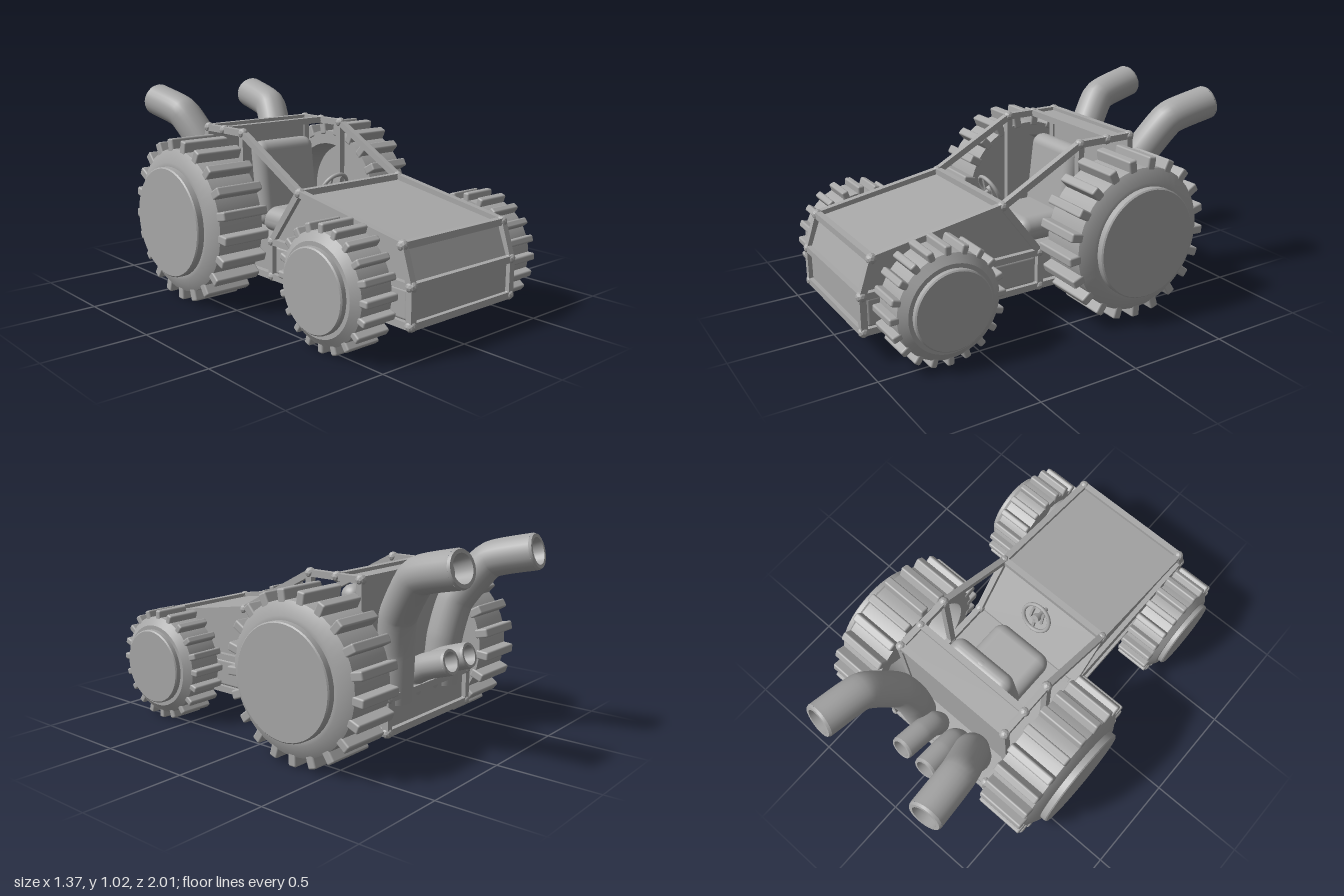
import * as THREE from 'three';
import { toCreasedNormals } from 'three/addons/utils/BufferGeometryUtils.js';
import { RoundedBoxGeometry } from 'three/addons/geometries/RoundedBoxGeometry.js';

const grey = new THREE.MeshStandardMaterial({ color: 0xa8a8a8 });
grey.name = 'plain grey';

function add(parent, name, geometry, x = 0, y = 0, z = 0) {
  const mesh = new THREE.Mesh(geometry, grey);
  mesh.name = name;
  mesh.position.set(x, y, z);
  parent.add(mesh);
  return mesh;
}

// square frame bar between two points
function bar(parent, name, a, b, w = 0.032) {
  const p = new THREE.Vector3(...a), q = new THREE.Vector3(...b);
  const mesh = add(parent, name, new THREE.BoxGeometry(w, w, p.distanceTo(q)));
  mesh.position.copy(p).add(q).multiplyScalar(0.5);
  mesh.lookAt(q);
  return mesh;
}

// solid with a side profile given as [z, y], spanning x = -half..half
function sideSolid(points, half) {
  const shape = new THREE.Shape(points.map(([z, y]) => new THREE.Vector2(-z, y)));
  const g = new THREE.ExtrudeGeometry(shape, { depth: half * 2, bevelEnabled: false });
  return g.translate(0, 0, -half).rotateY(Math.PI / 2);
}

// wheel with hollow inner side, stepped hub and tread bars; its axis is x, outside at +x
function makeWheel({ name, r, tread, hub, inner, outer, hubOuter, count, barWidth }) {
  const wheel = new THREE.Group();
  wheel.name = name;
  const w = outer - inner, h = hubOuter - inner;
  const profile = [
    [0, w * 0.55], [r * 0.74, w * 0.55], [r * 0.8, 0.005], [r, 0.005], [r, w - 0.005],
    [hub + 0.02, w + (h - w) * 0.45], [hub, w + (h - w) * 0.45],
    [hub, h - 0.006], [hub - 0.006, h], [0, h],
  ].map(([a, b]) => new THREE.Vector2(a, b));
  const body = new THREE.LatheGeometry(profile, 48).rotateZ(-Math.PI / 2);
  add(wheel, 'tyreAndHub', toCreasedNormals(body, 0.5));
  const depth = tread - r + 0.02;
  for (let i = 0; i < count; i++) {
    const t = (i / count) * Math.PI * 2;
    const block = new RoundedBoxGeometry(w, depth, barWidth, 2, 0.009);
    block.translate(w / 2, tread - depth / 2, 0).rotateX(t + Math.PI);
    add(wheel, 'treadBar', block);
  }
  return wheel;
}

// hollow exhaust: outer tube, end rim and a recessed mouth
function exhaust(parent, name, points, radius) {
  const group = new THREE.Group();
  group.name = name;
  const pts = points.map((p) => new THREE.Vector3(...p));
  const path = new THREE.CatmullRomCurve3(pts, false, 'catmullrom', 0.25);
  add(group, 'pipe', new THREE.TubeGeometry(path, 40, radius, 24, false));
  const end = pts[pts.length - 1], dir = path.getTangent(1);
  const rr = radius;
  const mouth = new THREE.LatheGeometry(
    [[rr, 0], [rr * 0.93, 0.012], [rr * 0.74, 0.012], [rr * 0.66, -0.08], [0, -0.08]]
      .map(([a, b]) => new THREE.Vector2(a, b)), 24);
  const rim = add(group, 'mouth', toCreasedNormals(mouth, 0.6));
  rim.position.copy(end);
  rim.quaternion.setFromUnitVectors(new THREE.Vector3(0, 1, 0), dir);
  parent.add(group);
}

export function createModel() {
  const model = new THREE.Group();
  model.name = 'buggy';

  // wheels
  const front = { name: 'frontWheel', r: 0.25, tread: 0.285, hub: 0.19, inner: 0.37, outer: 0.55,
    hubOuter: 0.6, count: 20, barWidth: 0.034 };
  const rear = { name: 'rearWheel', r: 0.355, tread: 0.405, hub: 0.272, inner: 0.367, outer: 0.62,
    hubOuter: 0.685, count: 21, barWidth: 0.045 };
  for (const s of [1, -1]) {
    for (const [spec, y, z] of [[front, 0.287, 0.67], [rear, 0.41, -0.315]]) {
      const wheel = makeWheel(spec);
      wheel.position.set(s * spec.inner, y, z);
      if (s < 0) wheel.rotation.y = Math.PI;
      model.add(wheel);
    }
  }

  // body panels, set slightly inside the frame
  const body = new THREE.Group();
  body.name = 'body';
  model.add(body);
  add(body, 'nose', sideSolid([[0.975, 0.155], [0.975, 0.325], [0.915, 0.485], [0.27, 0.588],
    [0.07, 0.325], [0.07, 0.155]], 0.312));
  add(body, 'lowerTub', new THREE.BoxGeometry(0.62, 0.15, 0.69), 0, 0.23, -0.27);
  add(body, 'firewall', new THREE.BoxGeometry(0.62, 0.52, 0.014), 0, 0.565, -0.468);
  add(body, 'roofPanel', new THREE.BoxGeometry(0.62, 0.012, 0.14), 0, 0.825, -0.4);
  for (const s of [1, -1]) {
    add(body, 'sidePanel', new RoundedBoxGeometry(0.03, 0.14, 0.88, 3, 0.014), s * 0.31, 0.24, 0.52);
  }

  // tubular frame, joints as [z, y]
  const J = {
    noseLow: [0.98, 0.155], noseMid: [0.98, 0.325], noseTop: [0.925, 0.49], cowl: [0.265, 0.6],
    roofFront: [-0.17, 0.832], roofMid: [-0.33, 0.832], roofRear: [-0.467, 0.832],
    postLow: [-0.467, 0.315], tailTop: [-0.622, 0.315], tailLow: [-0.622, 0.155],
    sillTop: [0.06, 0.33], sillLow: [0.06, 0.155], midPost: [-0.17, 0.315],
  };
  const sideBars = [
    ['noseLow', 'noseMid'], ['noseMid', 'noseTop'], ['noseTop', 'cowl'], ['cowl', 'roofFront'],
    ['roofFront', 'roofRear'], ['roofRear', 'postLow'], ['tailTop', 'tailLow'],
    ['tailLow', 'noseLow'], ['cowl', 'sillTop'], ['sillTop', 'sillLow'],
    ['noseMid', 'sillTop'], ['sillTop', 'tailTop'], ['roofFront', 'midPost'],
  ];
  const frame = new THREE.Group();
  frame.name = 'frame';
  model.add(frame);
  const at = (key, x) => [x, J[key][1], J[key][0]];
  const X = 0.322;
  for (const s of [X, -X]) {
    for (const [a, b] of sideBars) bar(frame, 'sideBar', at(a, s), at(b, s));
    for (const key of Object.keys(J)) {
      add(frame, 'joint', toCreasedNormals(new THREE.IcosahedronGeometry(0.026, 1), 0.1), ...at(key, s));
    }
  }
  for (const key of ['noseLow', 'noseMid', 'noseTop', 'cowl', 'roofMid', 'roofRear', 'tailTop', 'tailLow']) {
    bar(frame, 'crossBar', at(key, -X), at(key, X));
  }

  // seat
  const seat = new THREE.Group();
  seat.name = 'seat';
  model.add(seat);
  add(seat, 'cushion', new RoundedBoxGeometry(0.35, 0.13, 0.31, 5, 0.06), 0, 0.365, -0.09);
  const back = add(seat, 'backrest', new RoundedBoxGeometry(0.37, 0.44, 0.11, 5, 0.052), 0, 0.545, -0.25);
  back.rotation.x = -0.12;
  const head = add(seat, 'backrestCrown', new THREE.SphereGeometry(1, 24, 14), 0, 0.69, -0.268);
  head.scale.set(0.165, 0.075, 0.05);

  // steering wheel and column
  const steering = new THREE.Group();
  steering.name = 'steeringWheel';
  steering.position.set(0, 0.565, 0.14);
  steering.rotation.x = 0.46;
  model.add(steering);
  add(steering, 'rim', new THREE.TorusGeometry(0.078, 0.01, 10, 32));
  add(steering, 'hub', new THREE.CylinderGeometry(0.022, 0.022, 0.025, 16).rotateX(Math.PI / 2));
  for (let i = 0; i < 3; i++) {
    const t = Math.PI / 6 + (i * Math.PI * 2) / 3;
    bar(steering, 'spoke', [0, 0, 0], [Math.cos(t) * 0.076, Math.sin(t) * 0.076, 0], 0.013);
  }
  add(steering, 'column', new THREE.CylinderGeometry(0.011, 0.011, 0.12, 10).rotateX(Math.PI / 2), 0, 0, 0.055);

  // exhaust pipes
  for (const s of [1, -1]) {
    exhaust(model, 'largeExhaust', [[s * 0.19, 0.27, -0.56], [s * 0.2, 0.5, -0.575],
      [s * 0.235, 0.68, -0.61], [s * 0.295, 0.875, -0.75], [s * 0.32, 0.935, -0.975]], 0.087);
    exhaust(model, 'smallExhaust', [[s * 0.07, 0.27, -0.55], [s * 0.07, 0.37, -0.58],
      [s * 0.073, 0.42, -0.66], [s * 0.077, 0.46, -0.78]], 0.063);
  }
  return model;
}
